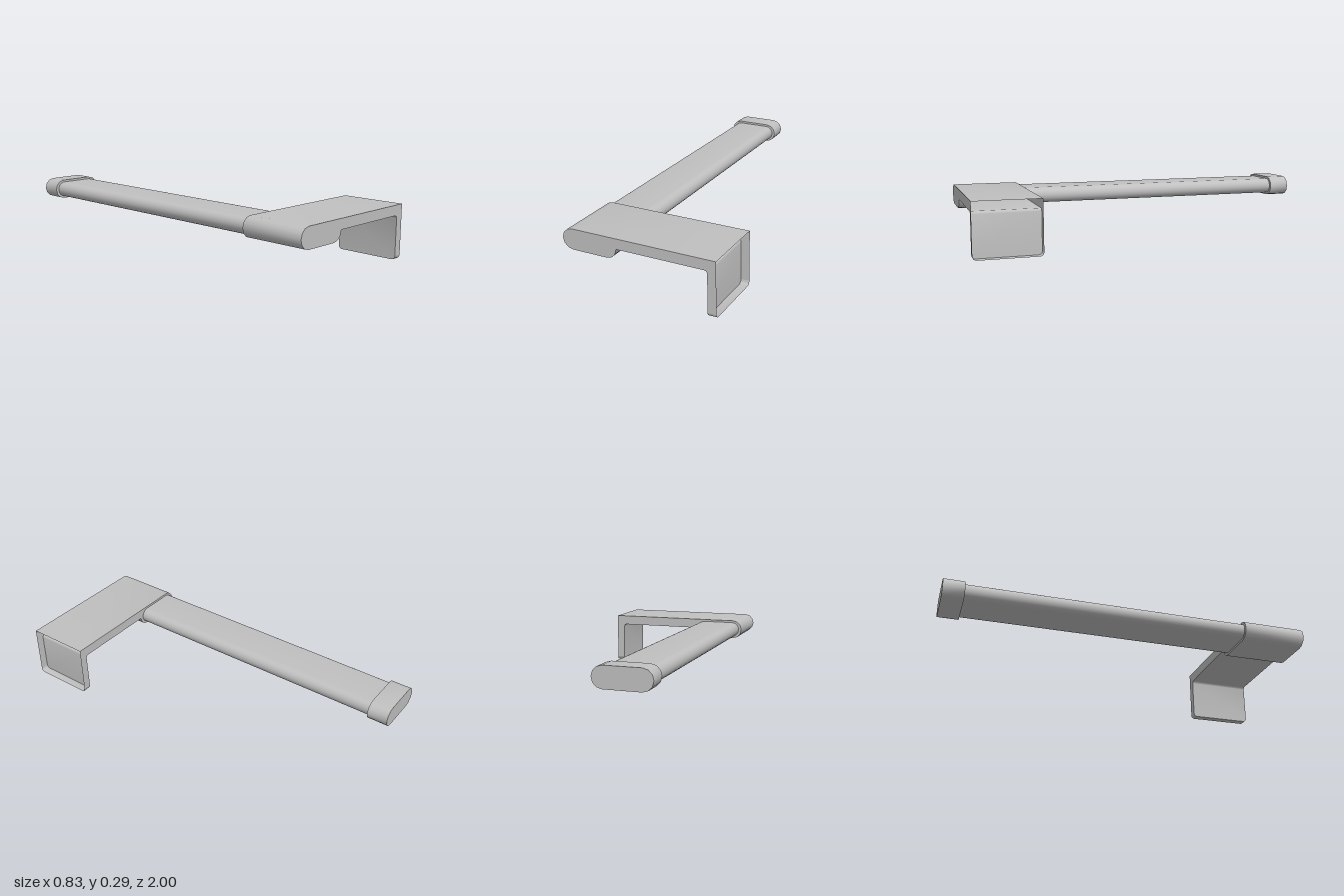
import * as THREE from 'three';
import { toCreasedNormals } from 'three/addons/utils/BufferGeometryUtils.js';

const V = (x, y) => new THREE.Vector2(x, y);

// Points on an arc, angles in degrees
function arc(cx, cy, r, from, to, steps) {
  return Array.from({ length: steps + 1 }, (_, i) => {
    const a = THREE.MathUtils.degToRad(from + ((to - from) * i) / steps);
    return V(cx + r * Math.cos(a), cy + r * Math.sin(a));
  });
}

// Open wall swept along z over a counter-clockwise path
function wall(path, z0, z1) {
  const pos = [];
  for (let i = 0; i < path.length - 1; i++) {
    const a = path[i], b = path[i + 1];
    pos.push(a.x, a.y, z0, b.x, b.y, z0, b.x, b.y, z1);
    pos.push(a.x, a.y, z0, b.x, b.y, z1, a.x, a.y, z1);
  }
  const g = new THREE.BufferGeometry();
  g.setAttribute('position', new THREE.Float32BufferAttribute(pos, 3));
  return toCreasedNormals(g, 0.6);
}

// Oval outline with rounded left and right ends
function oval(cx, cy, half, r, steps) {
  return [...arc(cx + half - r, cy, r, -90, 90, steps), ...arc(cx - half + r, cy, r, 90, 270, steps)];
}

export function createModel() {
  const group = new THREE.Group();
  const metal = new THREE.MeshStandardMaterial({ color: 0xc0c0c0, side: THREE.DoubleSide });
  metal.name = 'satin grey';

  const add = (name, geometry, parent = group) => {
    const mesh = new THREE.Mesh(geometry, metal);
    mesh.name = name;
    parent.add(mesh);
    return mesh;
  };

  const cy = 0.235, r = 0.055, back = 0.647, front = 1;
  const inner = 0.368, outer = 0.413, legCut = 0.02;

  // Hollow bracket: rounded grip, flat arm and leg, open on its outer end
  const profile = [
    V(outer, cy + r),
    ...arc(-0.36, cy, r, 90, 270, 6),
    ...arc(-0.167, cy, r, -90, 0, 3),
    ...arc(inner - 0.015, cy - 0.015, 0.015, 90, 0, 3),
    V(inner, legCut),
  ];
  const bracket = new THREE.Group();
  bracket.name = 'bracket';
  group.add(bracket);
  add('bracketWall', wall(profile, back, front), bracket);
  const side = new THREE.ShapeGeometry(new THREE.Shape([...profile, V(outer, legCut)]));
  add('bracketFrontFace', side, bracket).position.z = front;
  const rear = add('bracketBackFace', side.clone().scale(-1, 1, 1), bracket);
  rear.rotation.y = Math.PI;
  rear.position.z = back;

  // Leg foot with rounded lower corners, drawn sideways and turned
  const foot = new THREE.Group();
  foot.name = 'legFoot';
  foot.rotation.y = -Math.PI / 2;
  bracket.add(foot);
  const footPath = [
    ...arc(back + legCut, legCut, legCut, 180, 270, 4),
    ...arc(front - legCut, legCut, legCut, 270, 360, 4),
  ];
  add('footWall', wall(footPath, -outer, -inner), foot);
  add('footPanel', new THREE.ShapeGeometry(new THREE.Shape(footPath)), foot).position.z = -inner;

  // Long bar and its end cap
  const rod = (name, outline, z0, z1) => {
    const g = new THREE.ExtrudeGeometry(new THREE.Shape(outline), { depth: z1 - z0, bevelEnabled: false });
    add(name, toCreasedNormals(g, 0.6)).position.z = z0;
  };
  rod('bar', oval(-0.265, cy, 0.133, 0.043, 12), -0.89, back);
  rod('endCap', oval(-0.265, cy, 0.15, r, 6), -1, -0.887);

  // Flip the mirrored rear face so that it faces backwards
  rear.geometry.index.array.reverse();
  rear.geometry.computeVertexNormals();
  return group;
}
